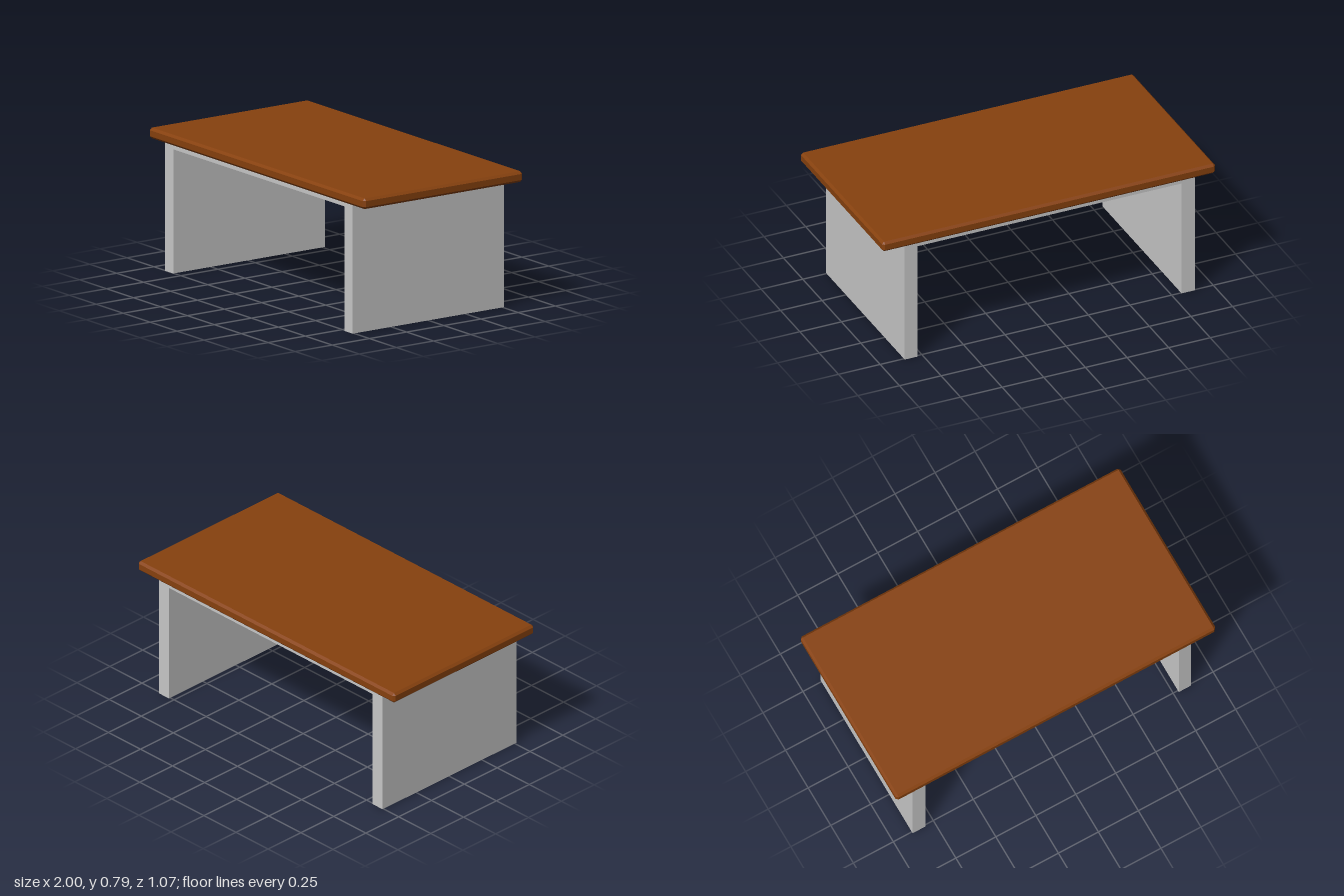
import * as THREE from 'three';
import { ConvexGeometry } from 'three/addons/geometries/ConvexGeometry.js';

const wood = new THREE.MeshStandardMaterial({ color: 0x87410e });
wood.name = 'brown wood';
const metal = new THREE.MeshStandardMaterial({ color: 0xc8c8c8 });
metal.name = 'light grey';

// Box with every edge and corner cut flat by c
function chamferedBox(w, h, d, c) {
  const points = [];
  for (const sx of [-1, 1]) for (const sy of [-1, 1]) for (const sz of [-1, 1]) {
    const x = w / 2, y = h / 2, z = d / 2;
    points.push(
      new THREE.Vector3(sx * x, sy * (y - c), sz * (z - c)),
      new THREE.Vector3(sx * (x - c), sy * y, sz * (z - c)),
      new THREE.Vector3(sx * (x - c), sy * (y - c), sz * z));
  }
  return new ConvexGeometry(points);
}

export function createModel() {
  const table = new THREE.Group();
  table.name = 'table';

  // Tabletop with bevelled edges
  const top = new THREE.Mesh(chamferedBox(2, 0.06, 1.072, 0.013), wood);
  top.name = 'tabletop';
  top.position.y = 0.757;
  table.add(top);

  // Grey panels: name, x range, y range
  const depth = 1.02;
  for (const [name, x0, x1, y0, y1] of [
    ['rightLegPanel', -0.885, -0.805, 0.003, 0.727],
    ['leftLegPanel', 0.78, 0.857, 0, 0.727],
    ['underTopPanel', -0.805, 0.78, 0.699, 0.727],
  ]) {
    const panel = new THREE.Mesh(new THREE.BoxGeometry(x1 - x0, y1 - y0, depth), metal);
    panel.name = name;
    panel.position.set((x0 + x1) / 2, (y0 + y1) / 2, 0);
    table.add(panel);
  }
  return table;
}
